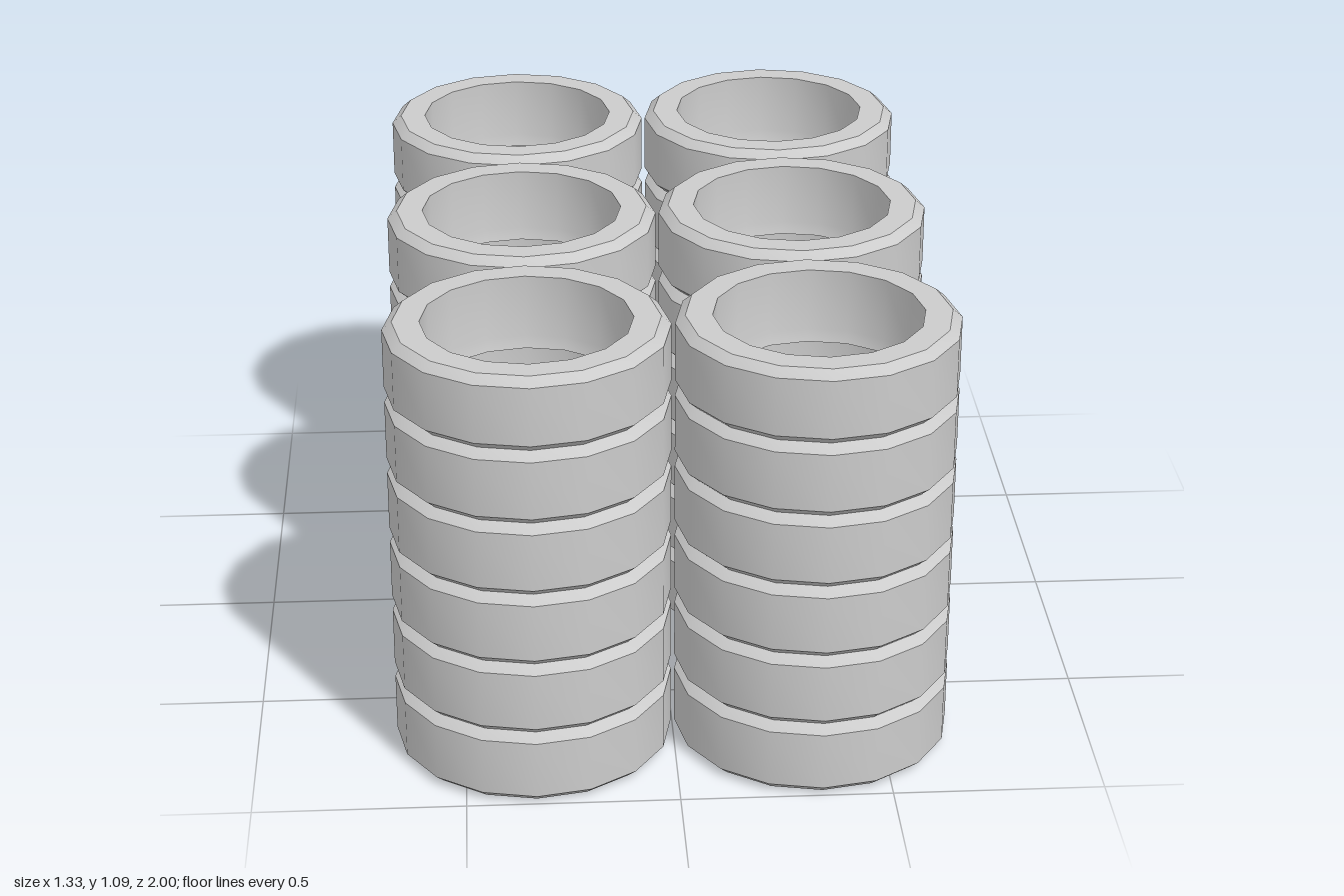
import * as THREE from 'three';
import { toCreasedNormals } from 'three/addons/utils/BufferGeometryUtils.js';

const SIDES = 16;
const RADIUS = 0.331;
const HOLE = 0.245;
const HEIGHT = 0.182;
const BEVEL = 0.02;
const TYRES_PER_STACK = 6;

// Closed tyre section: bevelled tread outside, bore with a slight lower lip inside
function tyreGeometry() {
  const profile = [
    [HOLE - 0.007, 0],
    [RADIUS - BEVEL - 0.003, 0],
    [RADIUS, BEVEL],
    [RADIUS, HEIGHT - BEVEL],
    [RADIUS - BEVEL - 0.003, HEIGHT],
    [HOLE, HEIGHT],
    [HOLE, 0.03],
    [HOLE - 0.007, 0],
  ].map(([r, y]) => new THREE.Vector2(r, y));
  return toCreasedNormals(new THREE.LatheGeometry(profile, SIDES), 0.6);
}

export function createModel() {
  const model = new THREE.Group();
  model.name = 'tyreStacks';
  const material = new THREE.MeshStandardMaterial({ color: 0xcccccc });
  const geometry = tyreGeometry();

  // Two columns by three rows of stacks
  for (const x of [-0.335, 0.335]) {
    for (const z of [-0.669, 0, 0.669]) {
      const stack = new THREE.Group();
      stack.name = 'tyreStack';
      stack.position.set(x, 0, z);
      for (let i = 0; i < TYRES_PER_STACK; i++) {
        const tyre = new THREE.Mesh(geometry, material);
        tyre.name = 'tyre';
        tyre.position.y = i * HEIGHT;
        stack.add(tyre);
      }
      model.add(stack);
    }
  }
  return model;
}
